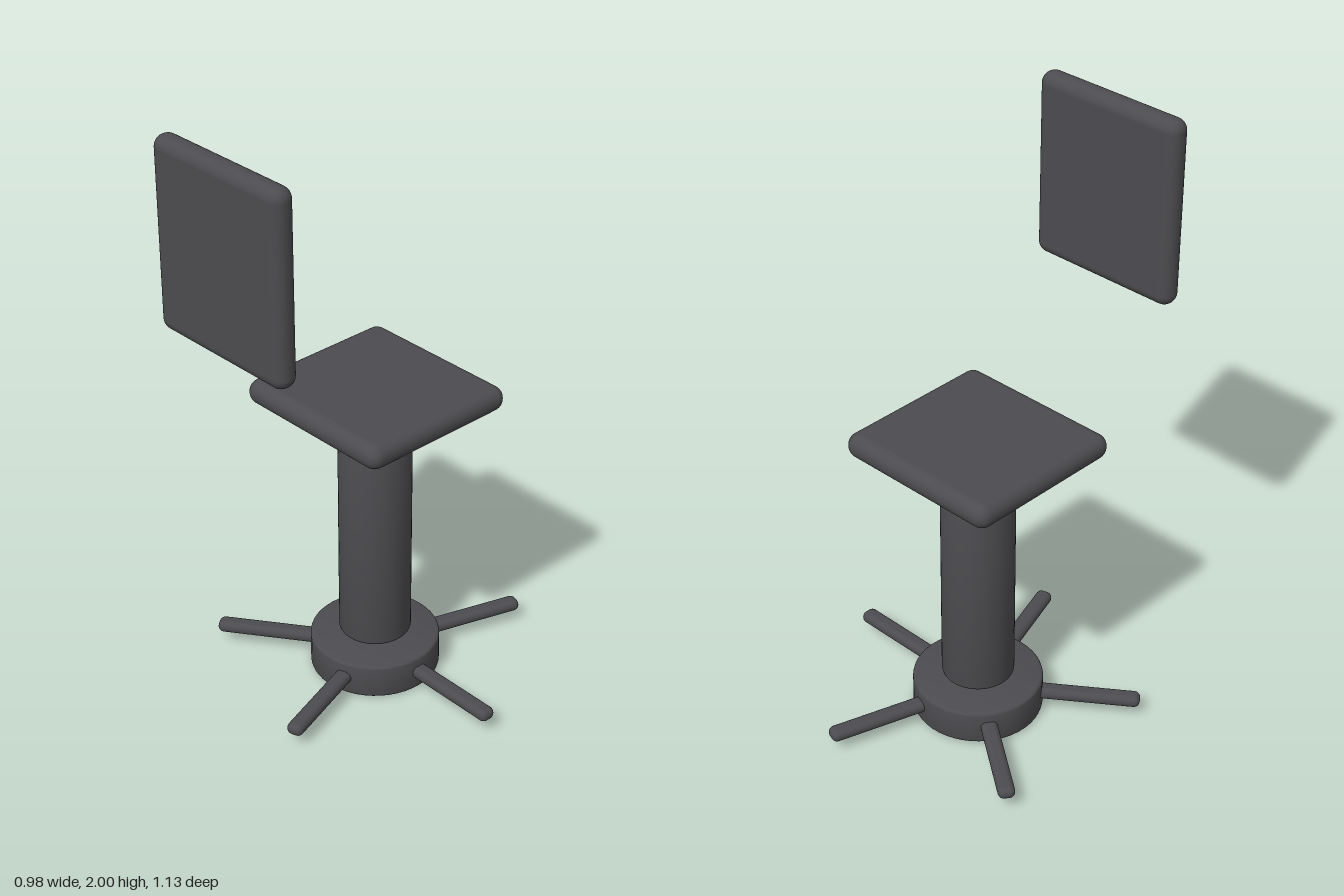
import * as THREE from 'three';
import { toCreasedNormals } from 'three/addons/utils/BufferGeometryUtils.js';
import { RoundedBoxGeometry } from 'three/addons/geometries/RoundedBoxGeometry.js';

const charcoal = new THREE.MeshStandardMaterial({ name: 'charcoal', color: 0x4c4b4f });
const AXIS = -0.05; // x and z of the column's axis

function add(parent, name, geometry, x, y, z) {
  const mesh = new THREE.Mesh(geometry, charcoal);
  mesh.name = name;
  mesh.position.set(x, y, z);
  parent.add(mesh);
  return mesh;
}

// Upright cylinder standing on y = 0 with slightly rounded rims
function roundedCylinder(radius, height, bevel) {
  const points = [new THREE.Vector2(0, 0)];
  for (const [cy, start] of [[bevel, -Math.PI / 2], [height - bevel, 0]]) {
    for (let i = 0; i <= 3; i++) {
      const a = start + (i / 3) * Math.PI / 2;
      points.push(new THREE.Vector2(radius - bevel + bevel * Math.cos(a), cy + bevel * Math.sin(a)));
    }
  }
  points.push(new THREE.Vector2(0, height));
  return toCreasedNormals(new THREE.LatheGeometry(points, 48), 0.6);
}

export function createModel() {
  const chair = new THREE.Group();
  chair.name = 'chair';

  // Floating cushions
  add(chair, 'backrest', new RoundedBoxGeometry(0.545, 0.62, 0.08, 5, 0.039), AXIS, 1.69, 0.525);
  add(chair, 'seat', new RoundedBoxGeometry(0.594, 0.084, 0.57, 5, 0.041), AXIS, 1.022, -0.053);

  // Column and hub
  add(chair, 'column', roundedCylinder(0.119, 0.81, 0.012), AXIS, 0.138, AXIS);
  add(chair, 'hub', roundedCylinder(0.214, 0.12, 0.01), AXIS, 0, AXIS);

  // Five spokes, one pointing to +x
  const spokes = new THREE.Group();
  spokes.name = 'spokes';
  spokes.position.set(AXIS, 0.064, AXIS);
  chair.add(spokes);
  for (let i = 0; i < 5; i++) {
    const arm = new THREE.Group();
    arm.name = 'spokeArm';
    arm.rotation.y = (i * 2 * Math.PI) / 5;
    add(arm, 'spoke', new RoundedBoxGeometry(0.4, 0.042, 0.056, 3, 0.02), 0.336, 0, 0);
    spokes.add(arm);
  }
  return chair;
}
